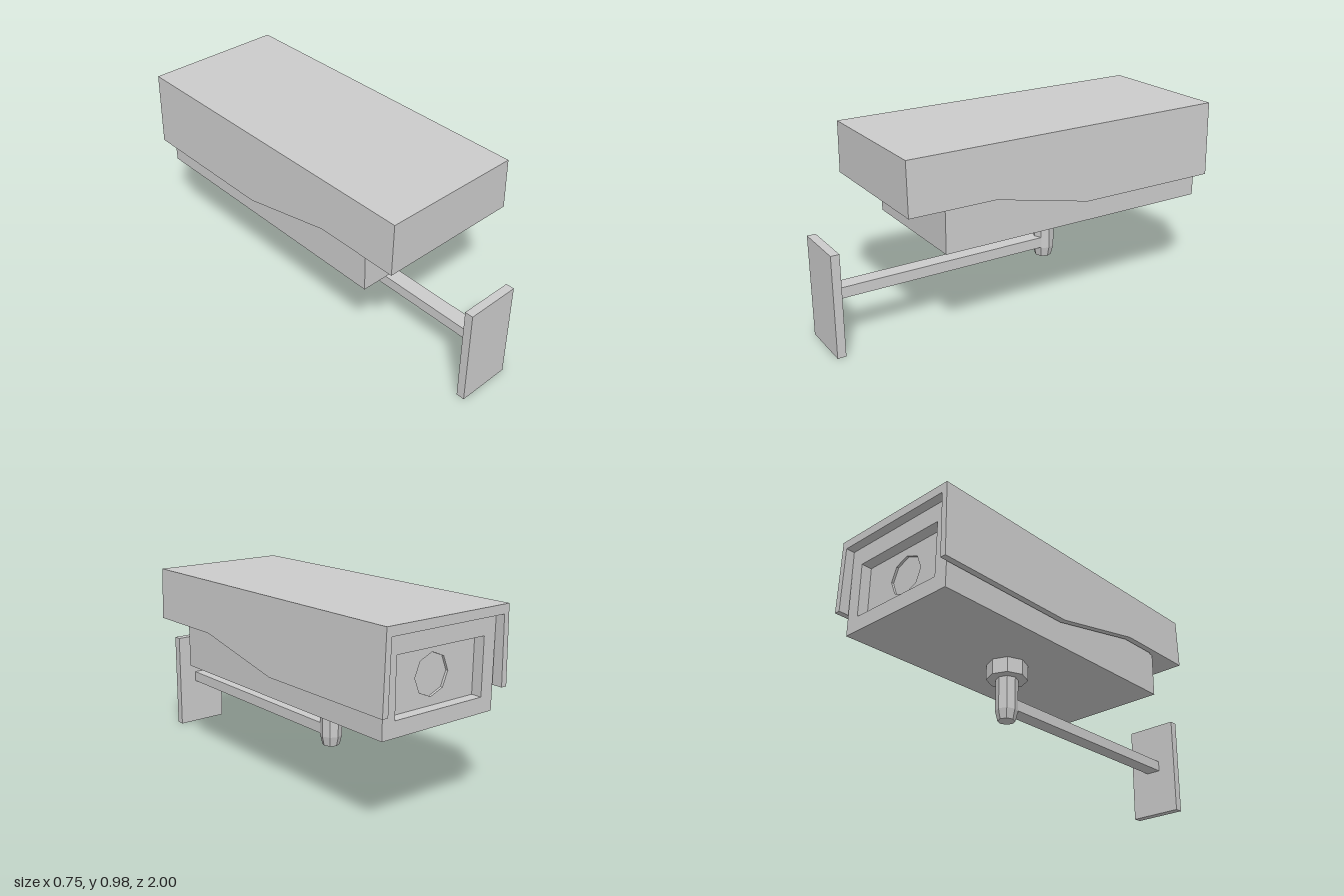
import * as THREE from 'three';

export function createModel() {
  const root = new THREE.Group();
  const mat = new THREE.MeshStandardMaterial({ color: 0xcccccc, flatShading: true });

  const add = (name, geo, x = 0, y = 0, z = 0) => {
    const mesh = new THREE.Mesh(geo, mat);
    mesh.name = name;
    mesh.position.set(x, y, z);
    root.add(mesh);
    return mesh;
  };
  // box given by its limits
  const block = (name, x0, x1, y0, y1, z0, z1) =>
    add(name, new THREE.BoxGeometry(x1 - x0, y1 - y0, z1 - z0),
      (x0 + x1) / 2, (y0 + y1) / 2, (z0 + z1) / 2);
  const polygon = (pts) => new THREE.Shape(pts.map(([a, b]) => new THREE.Vector2(a, b)));
  const rect = (w, y0, y1) => polygon([[-w, y0], [w, y0], [w, y1], [-w, y1]]);

  // side profile [z, y] extruded across x, flaring slightly towards the bottom
  const shellPiece = (name, pts, x0, x1) => {
    const geo = new THREE.ExtrudeGeometry(polygon(pts.map(([z, y]) => [-z, y])),
      { depth: x1 - x0, bevelEnabled: false });
    geo.rotateY(Math.PI / 2);
    geo.translate(x0, 0, 0);
    const p = geo.attributes.position;
    for (let i = 0; i < p.count; i++) {
      p.setX(i, p.getX(i) * (1 + (0.98 - p.getY(i)) * 0.087));
    }
    geo.computeVertexNormals();
    add(name, geo);
  };

  // sun shield: two side walls, roof and closed end
  const side = [[-1, 0.6], [-0.235, 0.6], [0.28, 0.71], [0.725, 0.71], [0.725, 0.973], [-1, 0.98]];
  shellPiece('shieldSideLeft', side, 0.333, 0.363);
  shellPiece('shieldSideRight', side, -0.363, -0.333);
  shellPiece('shieldRoofAndEnd',
    [[-1, 0.935], [0.5, 0.935], [0.5, 0.71], [0.725, 0.71], [0.725, 0.973], [-1, 0.98]],
    -0.333, 0.333);

  // housing: core, lens panel with octagonal opening, window frame
  const W = 0.333, Y0 = 0.483, Y1 = 0.936;
  block('housing', -W, W, Y0, Y1, -0.888, 0.525);

  const panel = rect(W, Y0, Y1);
  const lensHole = new THREE.Path();
  for (let i = 0; i < 8; i++) {
    const a = i * Math.PI / 4;
    const x = Math.cos(a) * 0.1, y = 0.7 + Math.sin(a) * 0.1;
    if (i) lensHole.lineTo(x, y); else lensHole.moveTo(x, y);
  }
  lensHole.closePath();
  panel.holes.push(lensHole);
  add('lensPanel', new THREE.ExtrudeGeometry(panel, { depth: 0.012, bevelEnabled: false }), 0, 0, -0.9);

  const frame = rect(W, Y0, Y1);
  frame.holes.push(rect(0.262, 0.56, 0.84));
  add('windowFrame', new THREE.ExtrudeGeometry(frame, { depth: 0.055, bevelEnabled: false }), 0, 0, -0.955);

  // swivel mount under the housing
  const mountZ = -0.235;
  add('mountCollar', new THREE.CylinderGeometry(0.102, 0.102, 0.08, 8), 0, 0.445, mountZ);
  add('mountPost', new THREE.CylinderGeometry(0.055, 0.055, 0.17, 8), 0, 0.325, mountZ);
  add('mountTip', new THREE.CylinderGeometry(0.055, 0.043, 0.05, 8), 0, 0.215, mountZ);

  // arm and wall plate
  block('arm', -0.04, 0.04, 0.245, 0.3, -0.22, 0.96);
  block('wallPlate', -0.14, 0.14, 0, 0.515, 0.957, 1);

  return root;
}
